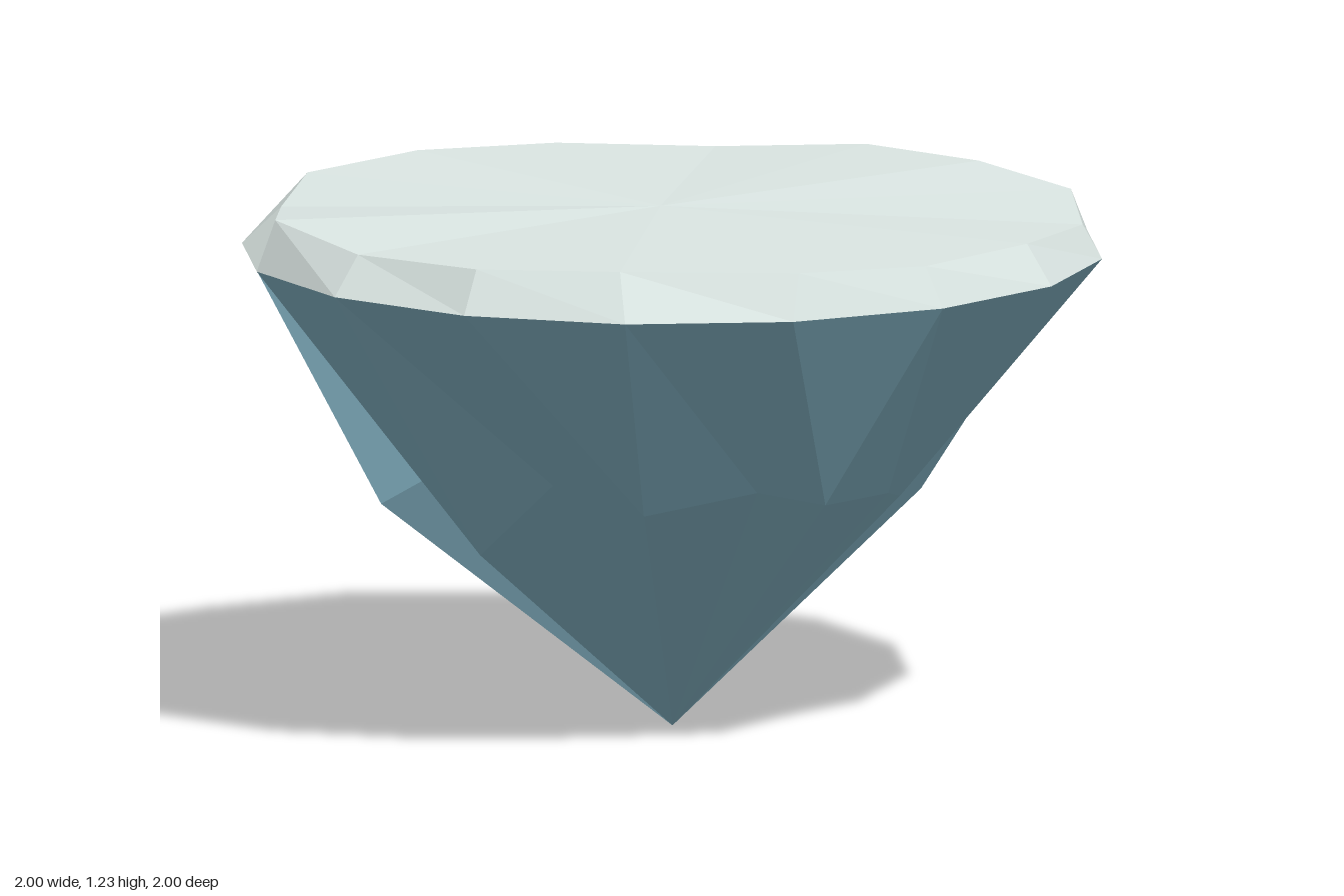
import * as THREE from 'three';

const SIDES = 16;

// Hand-shaped rings, [x, y, z] per corner, running from +x towards +z
const crownRing = [
  [0.955, 1.195, 0], [0.865, 1.21, 0.36], [0.665, 1.21, 0.685], [0.39, 1.22, 0.87],
  [-0.02, 1.225, 0.925], [-0.36, 1.215, 0.87], [-0.66, 1.205, 0.645], [-0.885, 1.23, 0.345],
  [-0.91, 1.2, -0.01], [-0.89, 1.215, -0.39], [-0.66, 1.23, -0.63], [-0.365, 1.21, -0.88],
  [0, 1.2, -0.93], [0.355, 1.22, -0.885], [0.645, 1.23, -0.63], [0.885, 1.21, -0.39],
];
const rockRing = [
  [0.53, 0.55, 0], [0.53, 0.6, 0.25], [0.41, 0.61, 0.49], [0.26, 0.65, 0.57],
  [0, 0.595, 0.6], [-0.22, 0.65, 0.52], [-0.41, 0.45, 0.33], [-0.47, 0.65, 0.19],
  [-0.66, 0.535, 0.15], [-0.52, 0.61, -0.21], [-0.47, 0.42, -0.36], [-0.3, 0.62, -0.45],
  [0.02, 0.61, -0.67], [0.32, 0.63, -0.53], [0.53, 0.49, -0.45], [0.54, 0.67, -0.2],
];
// Regular rim shared by the slab and the rock
const rim = Array.from({ length: SIDES }, (_, i) => {
  const a = (i / SIDES) * Math.PI * 2;
  return [Math.cos(a), 1.115, Math.sin(a)];
});

// Band of triangles joining two rings
function band(out, lower, upper) {
  for (let i = 0; i < SIDES; i++) {
    const j = (i + 1) % SIDES;
    out.push(lower[i], upper[i], upper[j], lower[i], upper[j], lower[j]);
  }
}

// Fan closing a ring to a single point
function fan(out, point, ring, facingUp) {
  for (let i = 0; i < SIDES; i++) {
    const j = (i + 1) % SIDES;
    if (facingUp) out.push(point, ring[j], ring[i]);
    else out.push(point, ring[i], ring[j]);
  }
}

function facetedMesh(name, corners, material) {
  const geometry = new THREE.BufferGeometry();
  geometry.setAttribute('position', new THREE.Float32BufferAttribute(corners.flat(), 3));
  geometry.computeVertexNormals();
  const mesh = new THREE.Mesh(geometry, material);
  mesh.name = name;
  return mesh;
}

export function createModel() {
  const group = new THREE.Group();
  group.name = 'floatingIsland';

  const paleGround = new THREE.MeshStandardMaterial({ color: 0xdae5e2, flatShading: true });
  paleGround.name = 'pale ground';
  const blueRock = new THREE.MeshStandardMaterial({ color: 0x7ba8b8, flatShading: true });
  blueRock.name = 'blue rock';

  // Ground slab: bevelled edge and slightly uneven top
  const ground = [];
  band(ground, rim, crownRing);
  fan(ground, [-0.03, 1.215, -0.03], crownRing, true);
  group.add(facetedMesh('groundSlab', ground, paleGround));

  // Craggy rock tapering to a point
  const rock = [];
  band(rock, rockRing, rim);
  fan(rock, [0, 0, -0.01], rockRing, false);
  group.add(facetedMesh('rockUnderside', rock, blueRock));

  return group;
}
